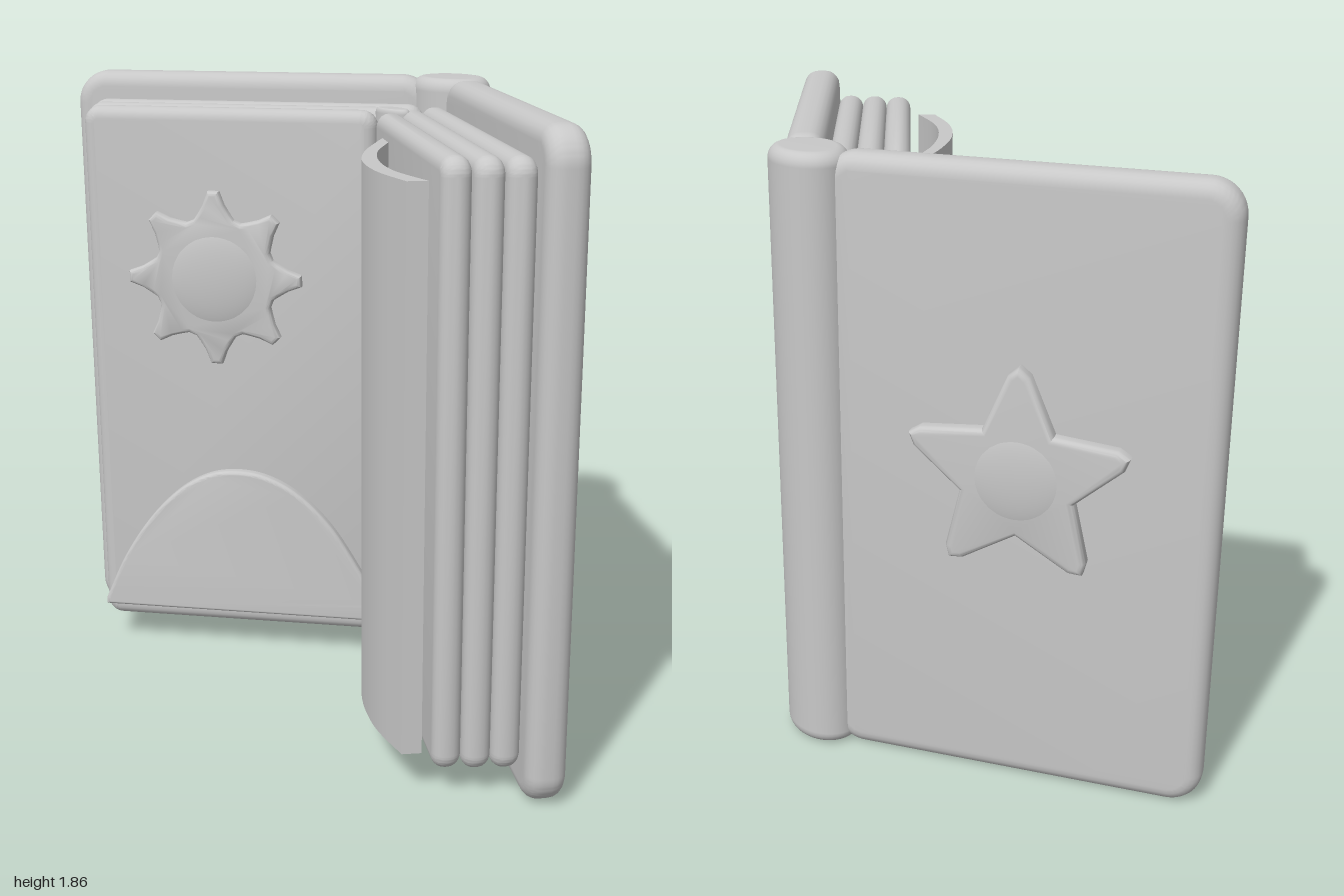
import * as THREE from 'three';
import { toCreasedNormals } from 'three/addons/utils/BufferGeometryUtils.js';

const TILT = 0.62; // angle of each half of the open book
const clay = new THREE.MeshStandardMaterial({ color: 0xc8c8c8 });
clay.name = 'light grey';

function add(parent, name, geometry) {
  const mesh = new THREE.Mesh(geometry, clay);
  mesh.name = name;
  parent.add(mesh);
  return mesh;
}

// Extrude a shape between z0 and z1 with rounded rims
function extrude(shape, z0, z1, bevel, offset = -bevel) {
  const geo = new THREE.ExtrudeGeometry(shape, {
    depth: z1 - z0 - 2 * bevel, bevelEnabled: bevel > 0, bevelSize: bevel,
    bevelThickness: bevel, bevelOffset: offset, bevelSegments: 5, curveSegments: 10,
  });
  geo.translate(0, 0, z0 + bevel);
  return toCreasedNormals(geo, 0.6);
}

function roundedRect(x0, x1, y0, y1, r) {
  const s = new THREE.Shape();
  s.absarc(x1 - r, y0 + r, r, -Math.PI / 2, 0);
  s.absarc(x1 - r, y1 - r, r, 0, Math.PI / 2);
  s.absarc(x0 + r, y1 - r, r, Math.PI / 2, Math.PI);
  s.absarc(x0 + r, y0 + r, r, Math.PI, Math.PI * 1.5);
  s.closePath();
  return s;
}

// Rounded slab reaching from a0 (near the spine) to a1 on one side
function slab(side, a0, a1, y0, y1, z0, z1, corner, bevel) {
  const x0 = side > 0 ? a0 : -a1, x1 = side > 0 ? a1 : -a0;
  return extrude(roundedRect(x0, x1, y0, y1, corner), z0, z1, bevel);
}

function polarShape(points) {
  return new THREE.Shape(points.map(([r, t]) => new THREE.Vector2(r * Math.cos(t), r * Math.sin(t))));
}

// Upright elliptical post with rounded ends
function post(rx, rz, y0, y1, round) {
  const pts = [new THREE.Vector2(0, y0)];
  for (let end = 0; end < 2; end++) {
    for (let i = 0; i <= 6; i++) {
      const t = (i / 6) * Math.PI / 2;
      const r = rx - round + round * (end ? Math.cos(t) : Math.sin(t));
      pts.push(new THREE.Vector2(r, end ? y1 - round + round * Math.sin(t) : y0 + round - round * Math.cos(t)));
    }
  }
  pts.push(new THREE.Vector2(0, y1));
  return new THREE.LatheGeometry(pts, 40).scale(1, 1, rz / rx);
}

export function createModel() {
  const book = new THREE.Group();
  book.name = 'openBook';

  const halves = {};
  for (const side of [1, -1]) {
    const label = side > 0 ? 'left' : 'right';
    const half = new THREE.Group();
    half.name = label + 'Half';
    half.rotation.y = -side * TILT;
    book.add(half);
    halves[label] = half;

    add(half, label + 'Cover', slab(side, -0.18, 0.963, 0, 1.86, -0.405, -0.29, 0.1, 0.045));
    // Three thick page blocks, each a little narrower
    [[-0.16, 0.894], [-0.1, 0.883], [-0.04, 0.867]].forEach(([a0, a1], i) => {
      const z = -0.29 + i * 0.08;
      add(half, label + 'Pages' + (i + 1), slab(side, a0, a1, 0.09, 1.78, z, z + 0.08, 0.05, 0.036));
    });
  }

  // Spine and inner binding
  add(book, 'spine', post(0.13, 0.105, 0, 1.86, 0.04)).position.z = -0.405;
  add(book, 'binding', post(0.065, 0.03, 0.085, 1.785, 0.015)).position.z = -0.14;

  // Sun relief on the right-hand page
  const rays = [];
  for (let i = 0; i < 8; i++) {
    const t = (i * Math.PI) / 4;
    rays.push([0.18, t - 0.3], [0.197, t - 0.2], [0.225, t - 0.09], [0.258, t - 0.03],
      [0.258, t + 0.03], [0.225, t + 0.09], [0.197, t + 0.2], [0.18, t + 0.3]);
  }
  const sun = new THREE.Group();
  sun.name = 'sun';
  sun.position.set(-0.46, 1.26, 0);
  halves.right.add(sun);
  add(sun, 'sunRays', extrude(polarShape(rays), -0.07, -0.022, 0.014, 0));
  add(sun, 'sunDisc', new THREE.SphereGeometry(0.17, 40, 20).scale(1, 1, 0.22)).position.z = -0.045;

  // Hill relief at the foot of the same page
  const hill = new THREE.Shape();
  hill.moveTo(-0.858, 0.14);
  hill.lineTo(0.058, 0.14);
  hill.lineTo(0.058, 0.19);
  hill.splineThru([[-0.01, 0.32], [-0.1, 0.46], [-0.2, 0.56], [-0.3, 0.615], [-0.4, 0.632],
    [-0.5, 0.615], [-0.6, 0.555], [-0.7, 0.45], [-0.79, 0.31], [-0.858, 0.16]]
    .map(([x, y]) => new THREE.Vector2(x, y)));
  hill.closePath();
  add(halves.right, 'hill', extrude(hill, -0.07, -0.02, 0.012));

  // Star relief on the outside of the right cover
  const starPts = [];
  for (let i = 0; i < 5; i++) {
    const t = Math.PI / 2 + (i * Math.PI * 2) / 5;
    starPts.push([0.295, t - 0.055], [0.308, t], [0.295, t + 0.055], [0.152, t + Math.PI / 5]);
  }
  const star = new THREE.Group();
  star.name = 'star';
  star.position.set(-0.4, 0.99, 0);
  halves.right.add(star);
  add(star, 'starBody', extrude(polarShape(starPts), -0.445, -0.385, 0.018, 0));
  add(star, 'starDome', new THREE.SphereGeometry(0.155, 40, 20).scale(1, 1, 0.2)).position.z = -0.425;

  // Single page curling away from the left half
  const v = ([x, z]) => new THREE.Vector2(x, -z);
  const near = [[0.12, -0.03], [0.19, 0.09], [0.28, 0.22], [0.4, 0.335], [0.53, 0.415], [0.69, 0.465]].map(v);
  const far = [[0.655, 0.508], [0.5, 0.452], [0.36, 0.36], [0.245, 0.235], [0.155, 0.1], [0.07, -0.04]].map(v);
  const curl = new THREE.Shape([
    ...new THREE.SplineCurve(far).getPoints(30),
    ...new THREE.SplineCurve(near).getPoints(30),
  ]);
  const page = add(book, 'turningPage', extrude(curl, 0.14, 1.72, 0));
  page.rotation.x = -Math.PI / 2;

  return book;
}
